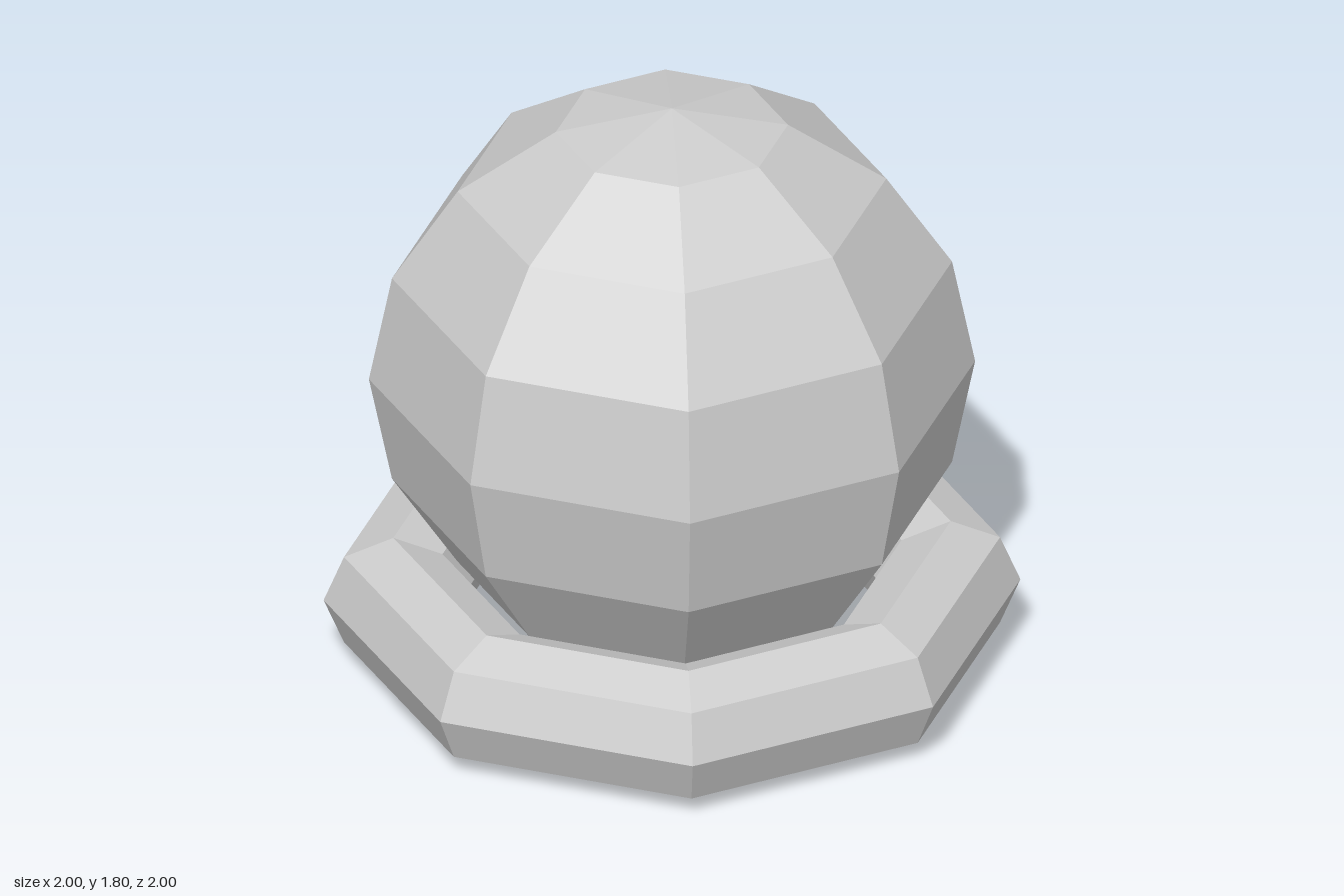
import * as THREE from 'three';

export function createModel() {
  const group = new THREE.Group();
  const material = new THREE.MeshStandardMaterial({ color: 0xcccccc, flatShading: true });

  function addPart(name, geometry, y) {
    const mesh = new THREE.Mesh(geometry, material);
    mesh.name = name;
    mesh.position.y = y;
    group.add(mesh);
  }

  // Eight-sided ring lying flat on the ground
  addPart('baseRing', new THREE.TorusGeometry(0.8, 0.2, 8, 8).rotateX(Math.PI / 2), 0.2);

  // Faceted ball resting inside the ring
  addPart('ball', new THREE.SphereGeometry(0.87, 8, 8), 0.93);

  return group;
}
